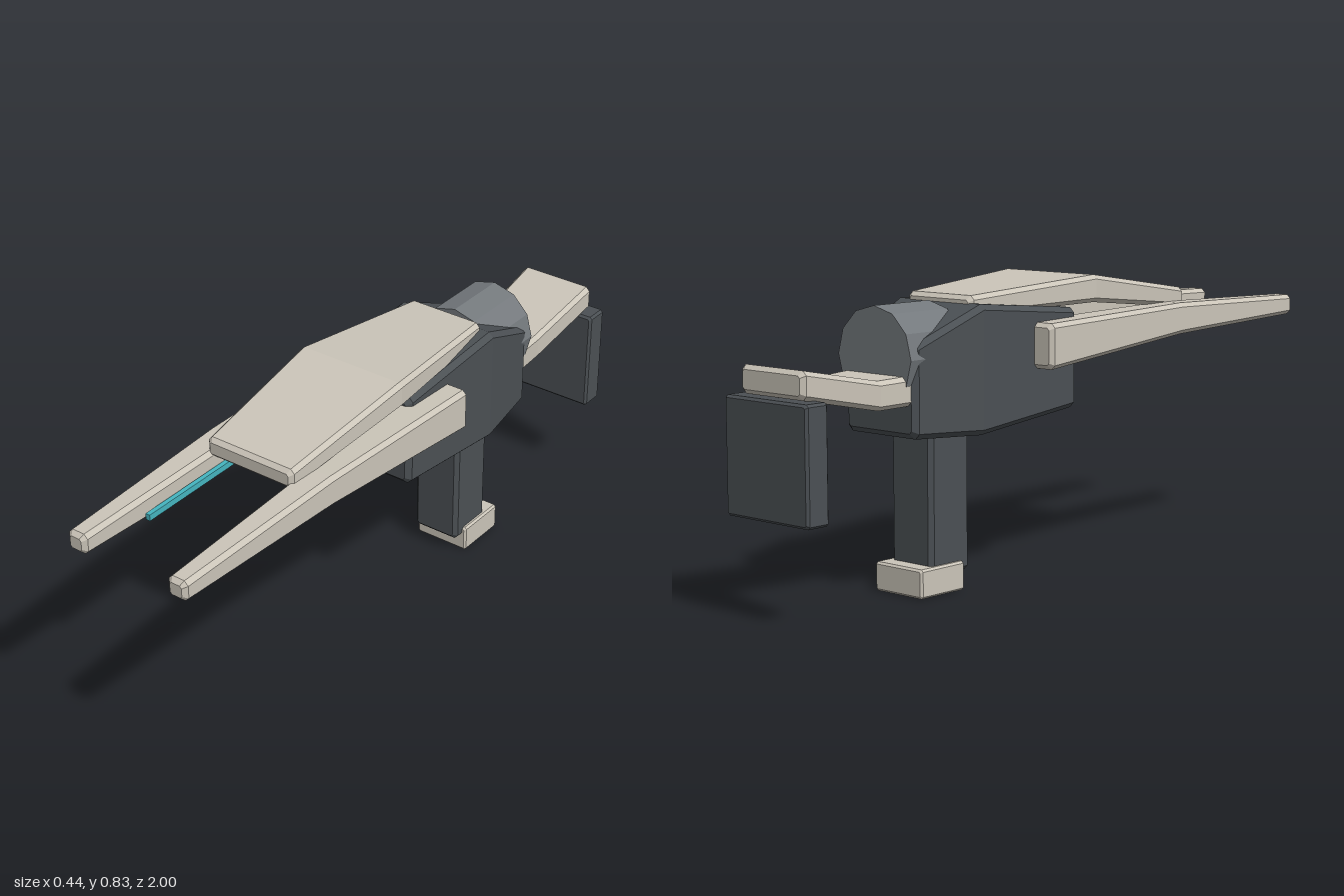
import * as THREE from 'three';

const mat = (color) => new THREE.MeshStandardMaterial({ color, flatShading: true, roughness: 0.7 });

// Chamfered rectangle, counterclockwise seen from +z
function ring(z, y0, y1, hw, c, x) {
  return [
    [hw, y0 + c], [hw, y1 - c], [hw - c, y1], [c - hw, y1],
    [-hw, y1 - c], [-hw, y0 + c], [c - hw, y0], [hw - c, y0],
  ].map(([px, py]) => [px + x, py, z]);
}

// Loft through sections [z, bottom, top, halfWidth], ordered front to back, with bevelled ends
function loft(sections, c = 0.012, x = 0) {
  const n = sections.length;
  const inset = ([z, y0, y1, hw], dz) => ring(z + dz, y0 + c, y1 - c, hw - c, c * 0.5, x);
  const rings = [inset(sections[0], 0)];
  sections.forEach(([z, y0, y1, hw], i) => {
    const dz = i === 0 ? -c : i === n - 1 ? c : 0;
    rings.push(ring(z + dz, y0, y1, hw, c, x));
  });
  rings.push(inset(sections[n - 1], 0));

  const pos = [];
  const tri = (a, b, d) => pos.push(...a, ...b, ...d);
  for (let k = 0; k < rings.length - 1; k++) {
    const a = rings[k], b = rings[k + 1];
    for (let i = 0; i < 8; i++) {
      const j = (i + 1) % 8;
      tri(b[i], b[j], a[j]);
      tri(b[i], a[j], a[i]);
    }
  }
  const f = rings[0], r = rings[rings.length - 1];
  for (let i = 1; i < 7; i++) {
    tri(f[0], f[i], f[i + 1]);
    tri(r[0], r[i + 1], r[i]);
  }
  const g = new THREE.BufferGeometry();
  g.setAttribute('position', new THREE.Float32BufferAttribute(pos, 3));
  g.computeVertexNormals();
  return g;
}

export function createModel() {
  const model = new THREE.Group();
  const shell = mat(0xcbc5b9), dark = mat(0x4b5054), lens = mat(0x74797d), glow = mat(0x45b5c0);
  const add = (name, geometry, material) => {
    const mesh = new THREE.Mesh(geometry, material);
    mesh.name = name;
    model.add(mesh);
    return mesh;
  };

  // Main housing
  add('body', loft([
    [0.02, 0.465, 0.745, 0.155],
    [-0.37, 0.43, 0.78, 0.163],
    [-0.6, 0.44, 0.69, 0.132],
  ], 0.015), dark);

  // Long armour plate over the housing
  add('topPlate', loft([
    [0.52, 0.71, 0.768, 0.143],
    [0.08, 0.755, 0.832, 0.172],
    [-0.375, 0.745, 0.8, 0.12],
  ]), shell);

  // Twin prongs and the glowing rails inside them
  for (const [side, s] of [['left', 1], ['right', -1]]) {
    add(side + 'Prong', loft([
      [1, 0.657, 0.717, 0.031],
      [0.43, 0.64, 0.731, 0.044],
      [-0.165, 0.59, 0.716, 0.057],
    ], 0.012, s * 0.165), shell);

    const rail = add(side + 'Rail', new THREE.BoxGeometry(0.014, 0.018, 0.79), glow);
    rail.position.set(s * 0.113, 0.673, 0.395);
  }

  // Faceted drum at the rear of the housing
  const drum = add('rearDrum', new THREE.CylinderGeometry(0.135, 0.135, 0.205, 12), lens);
  drum.rotation.x = Math.PI / 2;
  drum.position.set(0, 0.65, -0.515);

  // Shoulder stock and pad
  add('stock', loft([
    [-0.5, 0.53, 0.61, 0.125],
    [-0.7, 0.525, 0.603, 0.108],
    [-0.978, 0.58, 0.655, 0.118],
  ]), shell);
  add('stockPad', loft([[-0.925, 0.265, 0.577, 0.153], [-1, 0.265, 0.577, 0.153]], 0.007), dark);

  // Grip and its foot
  add('grip', loft([[-0.335, 0.05, 0.47, 0.076], [-0.487, 0.05, 0.47, 0.076]]), dark);
  add('gripFoot', loft([[-0.37, 0, 0.08, 0.088], [-0.537, 0, 0.08, 0.088]], 0.006), shell);

  return model;
}
